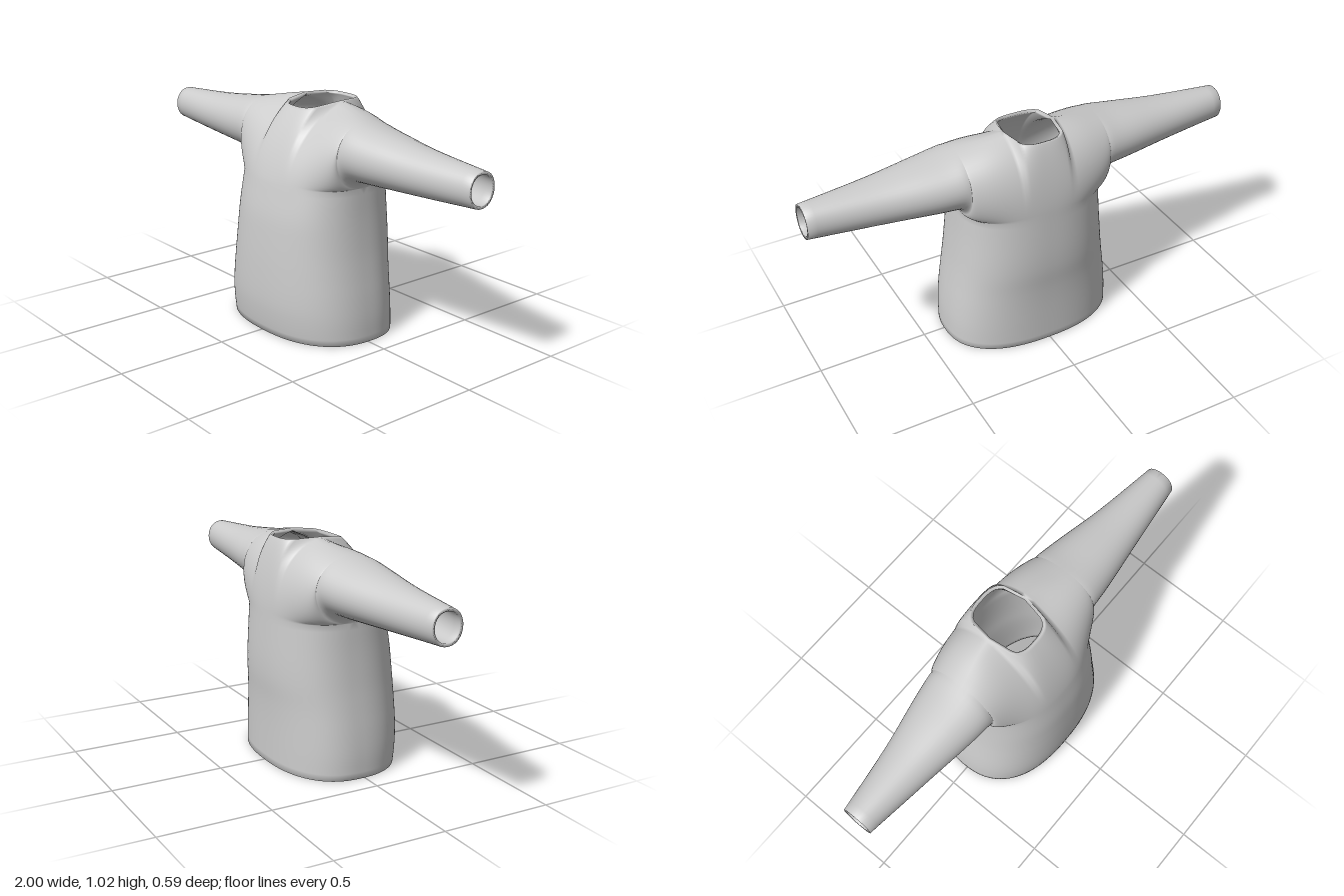
import * as THREE from 'three';
import { mergeVertices } from 'three/addons/utils/BufferGeometryUtils.js';

const { lerp, smoothstep } = THREE.MathUtils;

// Smooth curve through [input, value] points
function table(points) {
  const n = points.length - 1;
  const slope = (i) => {
    const a = points[Math.max(i - 1, 0)], b = points[Math.min(i + 1, n)];
    return (b[1] - a[1]) / (b[0] - a[0]);
  };
  return (x) => {
    let i = 0;
    while (i < n - 1 && x > points[i + 1][0]) i++;
    const [x0, y0] = points[i], [x1, y1] = points[i + 1];
    const h = x1 - x0, t = Math.min(Math.max((x - x0) / h, 0), 1), u = 1 - t;
    return y0 * (1 + 2 * t) * u * u + y1 * t * t * (3 - 2 * t)
      + h * (slope(i) * t * u * u - slope(i + 1) * t * t * u);
  };
}

const ARMPIT = 0.333, JOIN = 0.68, SIDE_Z = -0.02, THICKNESS = 0.014;
const NECK = { x: 0.12, z: -0.067, depth: 0.147 };
const BODY_COLS = 34, NECK_COLS = 8, SLEEVE_COLS = 24;

// Body outline by height
const bodyWidth = table([[0, 0.4], [0.1, 0.396], [0.2, 0.385], [0.3, 0.37], [0.4, 0.356], [0.55, 0.341], [JOIN, ARMPIT]]);
const bodyFront = table([[0, 0.28], [0.05, 0.289], [0.15, 0.298], [0.3, 0.295], [0.45, 0.285], [0.55, 0.274], [JOIN, 0.247]]);
const bodyBack = table([[0, -0.285], [0.2, -0.285], [0.3, -0.288], [0.4, -0.295], [0.5, -0.295], [JOIN, -0.286]]);

// Shoulder and sleeve outline by distance from the middle
const topY = table([[0.12, 1.015], [0.2, 1.0], [0.3, 0.979], [0.4, 0.96], [0.5, 0.946], [0.7, 0.922], [1, 0.9]]);
const underY = table([[ARMPIT, JOIN], [0.345, 0.702], [0.37, 0.714], [0.45, 0.719], [0.7, 0.732], [1, 0.75]]);
const sleeveFront = table([[0, 0.16], [0.36, 0.15], [0.7, 0.108], [1, 0.07]]);
const sleeveBack = table([[0, 0.2], [0.36, 0.178], [0.7, 0.115], [1, 0.07]]);

const roundness = (s, power) => Math.pow(Math.max(0, 1 - Math.pow(s, power)), 1 / power);

// Point on the body below the armpits; s is the sideways fraction -1..1
function bodyPoint(s, y, front) {
  const edge = front ? bodyFront(y) : bodyBack(y);
  return [s * bodyWidth(y), y, SIDE_Z + (edge - SIDE_Z) * roundness(Math.abs(s), 2.4)];
}

// Column of the yoke and sleeves, from the neck or shoulder seam downwards
function upperCurve(col, front) {
  const i = Math.abs(col), side = Math.sign(col);
  const s = Math.sin((Math.min(i, BODY_COLS) / BODY_COLS) * Math.PI / 2);
  const inBody = i <= BODY_COLS;
  const x = inBody ? ARMPIT * s : ARMPIT + (1 - ARMPIT) * Math.pow((i - BODY_COLS) / SLEEVE_COLS, 1.5);
  let zTop, yTop;
  if (i < NECK_COLS) {
    zTop = NECK.z + (front ? 1 : -1) * NECK.depth * roundness(x / NECK.x, 3);
    yTop = 1.015 - (zTop > NECK.z ? 0.025 : 0.006) * ((zTop - NECK.z) / NECK.depth) ** 2;
  } else {
    zTop = lerp(NECK.z, SIDE_Z, smoothstep(x, NECK.x, 0.42));
    yTop = topY(x);
  }
  const yLow = inBody ? JOIN : underY(x);
  const zLow = inBody ? bodyPoint(s, JOIN, front)[2] : SIDE_Z;
  const blend = smoothstep(x, 0.07, 0.36);
  const bulge = SIDE_Z + (4 / 3) * (front ? sleeveFront(x) : -sleeveBack(x));
  const [y1, z1, y2, z2] = front ? [0.92, 0.145, 0.8, 0.215] : [0.97, -0.237, 0.82, -0.282];
  return new THREE.CubicBezierCurve3(
    new THREE.Vector3(side * x, yTop, zTop),
    new THREE.Vector3(side * x, lerp(y1, yTop, blend), lerp(z1, bulge, blend)),
    new THREE.Vector3(side * x, lerp(y2, yLow, blend), lerp(z2, bulge, blend)),
    new THREE.Vector3(side * x, yLow, zLow));
}

// Outer cloth: front and back sheets welded along their seams
function clothGeometry() {
  const positions = [], index = [];
  function sheet(lastCol, rows, front, columnPoint) {
    const start = positions.length / 3, w = rows + 1;
    for (let c = -lastCol; c <= lastCol; c++) {
      const point = columnPoint(c);
      for (let r = 0; r <= rows; r++) positions.push(...point(r / rows));
    }
    for (let c = 0; c < 2 * lastCol; c++) {
      for (let r = 0; r < rows; r++) {
        const a = start + c * w + r, b = a + 1, d = a + w, e = d + 1;
        index.push(...(front ? [a, b, e, a, e, d] : [a, e, b, a, d, e]));
      }
    }
  }
  for (const front of [true, false]) {
    sheet(BODY_COLS + SLEEVE_COLS, 20, front, (c) => {
      const curve = upperCurve(c, front);
      return (t) => curve.getPoint(t).toArray();
    });
    sheet(BODY_COLS, 24, front, (c) => {
      const s = Math.sin((c / BODY_COLS) * Math.PI / 2);
      return (t) => bodyPoint(s, JOIN * (1 - t), front);
    });
  }
  const geometry = new THREE.BufferGeometry();
  geometry.setAttribute('position', new THREE.Float32BufferAttribute(positions, 3));
  geometry.setIndex(index);
  const welded = mergeVertices(geometry, 1e-4);
  welded.computeVertexNormals();
  return welded;
}

// Give the cloth a lining and close the rims at hem, cuffs and neck
function thicken(outer) {
  const p = outer.attributes.position, n = outer.attributes.normal;
  const tri = Array.from(outer.index.array), count = p.count;
  const positions = Array.from(p.array), index = tri.slice();
  for (let i = 0; i < count * 3; i++) positions.push(p.array[i] - n.array[i] * THICKNESS);
  const edges = new Map();
  for (let i = 0; i < tri.length; i += 3) {
    index.push(tri[i] + count, tri[i + 2] + count, tri[i + 1] + count);
    for (let k = 0; k < 3; k++) {
      const a = tri[i + k], b = tri[i + (k + 1) % 3];
      if (!edges.delete(`${b},${a}`)) edges.set(`${a},${b}`, [a, b]);
    }
  }
  for (const [a, b] of edges.values()) {
    index.push(b, a, a + count, b, a + count, b + count);
  }
  const geometry = new THREE.BufferGeometry();
  geometry.setAttribute('position', new THREE.Float32BufferAttribute(positions, 3));
  geometry.setIndex(index);
  geometry.computeVertexNormals();
  return geometry;
}

export function createModel() {
  const group = new THREE.Group();
  group.name = 'longSleevedTop';
  const material = new THREE.MeshStandardMaterial({ color: 0xcccccc, side: THREE.DoubleSide });
  const garment = new THREE.Mesh(thicken(clothGeometry()), material);
  garment.name = 'garment';
  group.add(garment);
  return group;
}
